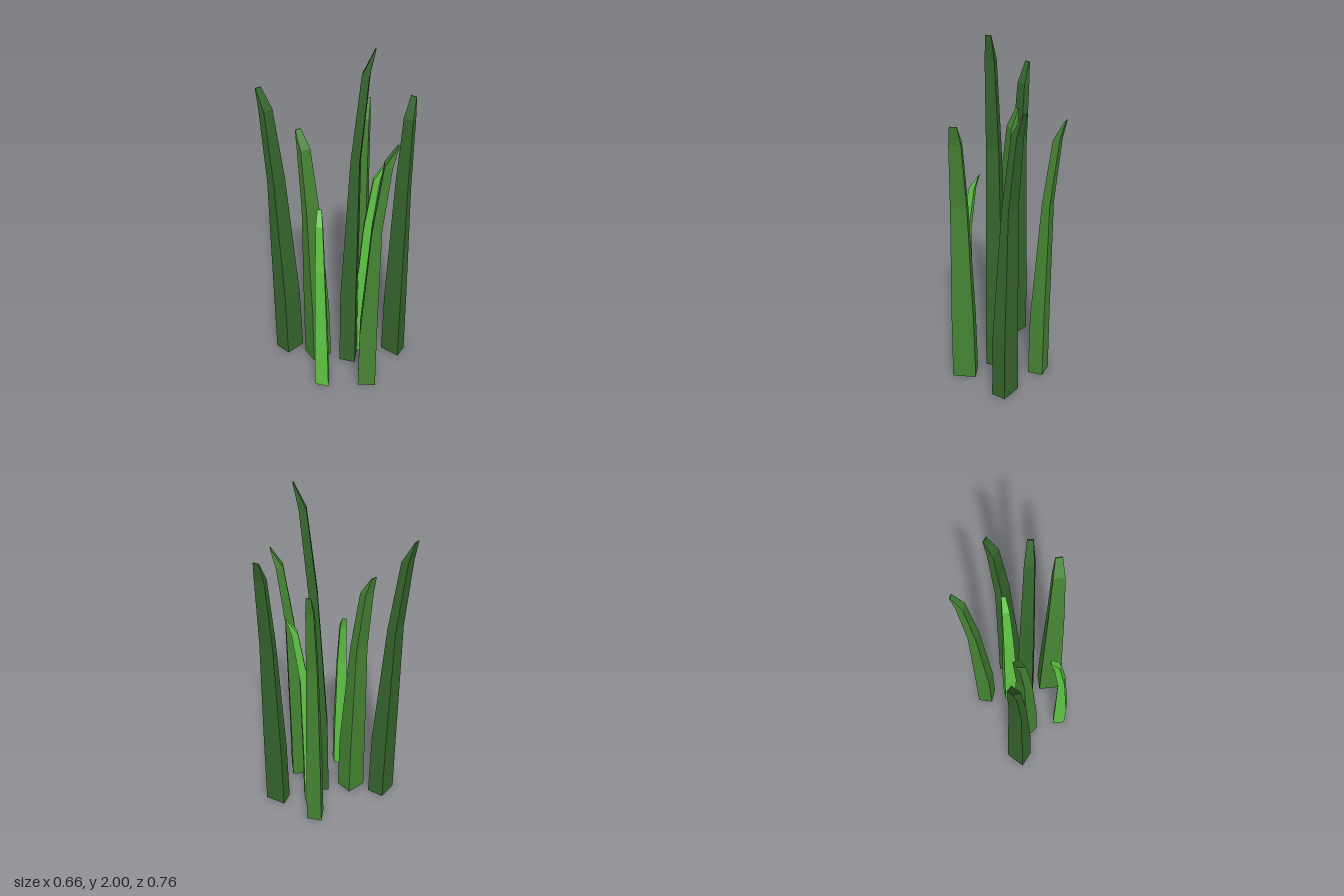
import * as THREE from 'three';

const mat = (name, color) => {
  const m = new THREE.MeshStandardMaterial({ color, flatShading: true });
  m.name = name;
  return m;
};

// cross-sections from root to tip: [height, lean, width, thickness] as fractions
const SECTIONS = [
  [0, 0, 1, 1],
  [0.25, 0.03, 0.93, 0.95],
  [0.7, 0.28, 0.66, 0.5],
  [0.935, 0.65, 0.47, 0.4],
  [1, 1, 0.28, 0.05],
];

// p0, p1: inner root edge; u: root thickness vector; tip: centre of the tip (all x, z)
function bladeGeometry({ p0, p1, u, tip, height }) {
  const w = [p1[0] - p0[0], p1[1] - p0[1]];
  const root = [0, 1].map((k) => (p0[k] + p1[k] + u[k]) / 2);
  const corners = [[-0.5, -0.5], [0.5, -0.5], [0.5, 0.5], [-0.5, 0.5]];
  const rings = SECTIONS.map(([h, lean, width, thick]) => corners.map(([a, b]) => {
    const at = (k) => root[k] + (tip[k] - root[k]) * lean + a * width * w[k] + b * thick * u[k];
    return [at(0), h * height, at(1)];
  }));
  const pos = [];
  const quad = (a, b, c, d) => pos.push(...a, ...b, ...c, ...a, ...c, ...d);
  for (let s = 0; s < rings.length - 1; s++) {
    for (let i = 0; i < 4; i++) {
      const j = (i + 1) % 4;
      quad(rings[s][i], rings[s][j], rings[s + 1][j], rings[s + 1][i]);
    }
  }
  // root and tip caps
  const [a, b, c, d] = rings[0];
  quad(d, c, b, a);
  quad(...rings[rings.length - 1]);
  const geo = new THREE.BufferGeometry();
  geo.setAttribute('position', new THREE.Float32BufferAttribute(pos, 3));
  geo.computeVertexNormals();
  return geo;
}

export function createModel() {
  const dark = mat('dark green', 0x36662d);
  const mid = mat('mid green', 0x468434);
  const light = mat('light green', 0x5fc444);

  const blades = [
    { name: 'backLeftBlade', m: dark, p0: [-0.269, -0.218], p1: [-0.148, -0.214], u: [-0.006, -0.1], tip: [-0.235, -0.376], height: 1.73 },
    { name: 'innerBackBlade', m: mid, p0: [-0.202, -0.056], p1: [-0.087, -0.024], u: [0.02, -0.1], tip: [-0.131, -0.201], height: 1.52 },
    { name: 'backRightBlade', m: mid, p0: [0.153, -0.082], p1: [0.187, 0.001], u: [0.078, -0.041], tip: [0.312, -0.116], height: 1.58 },
    { name: 'frontRightBlade', m: dark, p0: [0.171, 0.166], p1: [0.188, 0.288], u: [0.081, -0.02], tip: [0.326, 0.186], height: 1.68 },
    { name: 'leftBlade', m: light, p0: [-0.33, 0.089], p1: [-0.29, 0.159], u: [0.058, -0.051], tip: [-0.204, 0.025], height: 1.16 },
    { name: 'tallCentreBlade', m: dark, p0: [-0.004, -0.01], p1: [-0.086, 0.05], u: [0.048, 0.084], tip: [0.048, 0.164], height: 2 },
    { name: 'lightShortBlade', m: light, p0: [0.092, -0.006], p1: [0.028, 0.052], u: [0.065, 0.059], tip: [0.182, 0.13], height: 1.31 },
    { name: 'frontBlade', m: mid, p0: [-0.058, 0.184], p1: [-0.158, 0.274], u: [0.069, 0.076], tip: [0.007, 0.363], height: 1.58 },
  ];

  const group = new THREE.Group();
  group.name = 'grassTuft';
  for (const blade of blades) {
    const mesh = new THREE.Mesh(bladeGeometry(blade), blade.m);
    mesh.name = blade.name;
    group.add(mesh);
  }
  return group;
}
